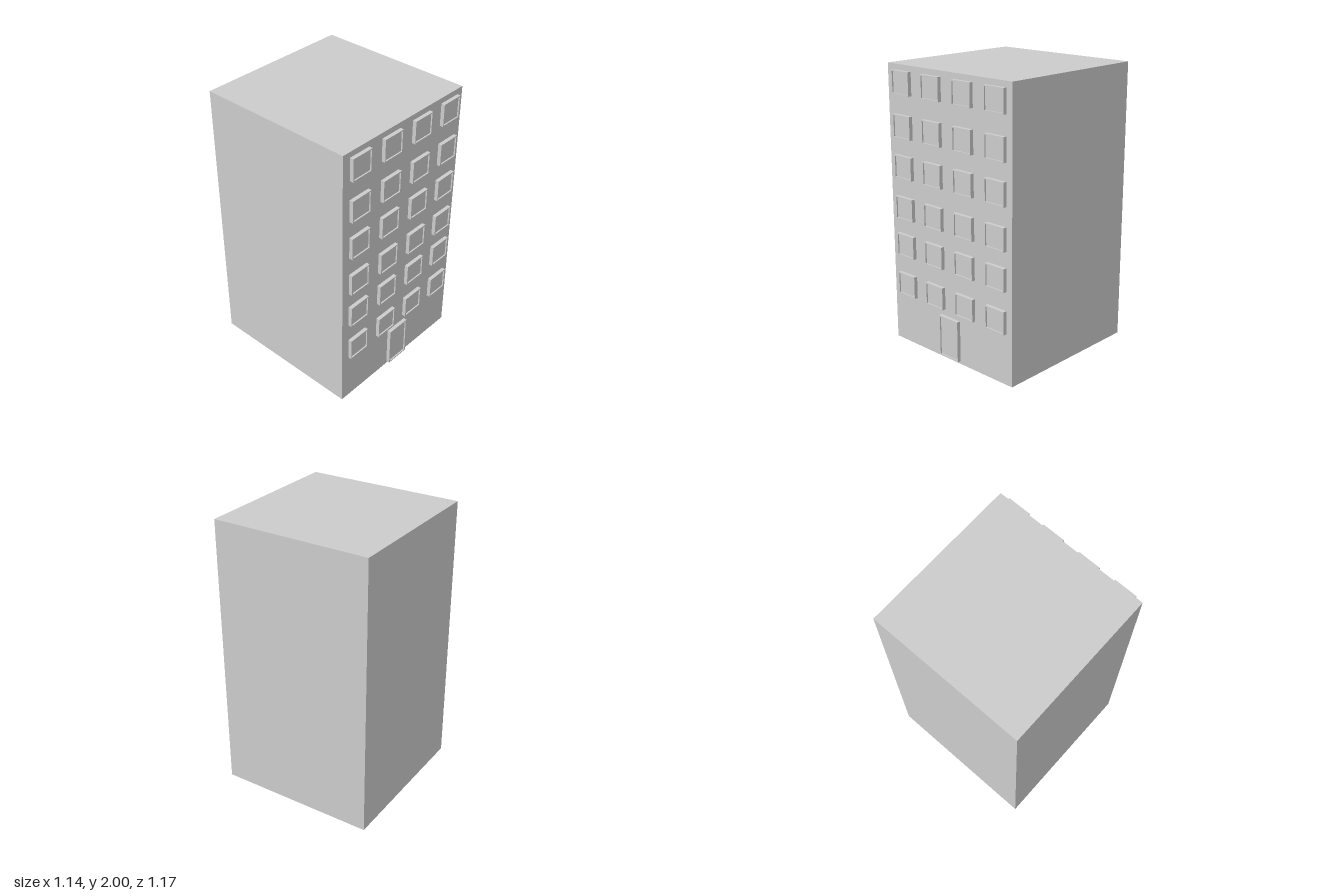
import * as THREE from 'three';

const WALL_Z = 0.558;   // front face of the block
const DEPTH = 0.027;    // how far frames stand out
const RECESS = 0.01;    // how far panes sit behind the frame face

const material = new THREE.MeshStandardMaterial({ color: 0xcccccc, flatShading: true });

function addMesh(parent, name, geometry, x, y, z) {
  const mesh = new THREE.Mesh(geometry, material);
  mesh.name = name;
  mesh.position.set(x, y, z);
  parent.add(mesh);
}

// Clockwise or counter-clockwise rectangle outline centred on the origin
function rectangle(PathType, w, h) {
  return new PathType([[-1, -1], [1, -1], [1, 1], [-1, 1]]
    .map(([x, y]) => new THREE.Vector2(x * w / 2, y * h / 2)));
}

// Raised rectangular frame around a slightly recessed panel
function framedPanel(name, panelName, w, h, border) {
  const group = new THREE.Group();
  group.name = name;
  const outline = rectangle(THREE.Shape, w, h);
  const iw = w - 2 * border, ih = h - 2 * border;
  outline.holes.push(rectangle(THREE.Path, iw, ih));
  addMesh(group, name + 'Frame',
    new THREE.ExtrudeGeometry(outline, { depth: DEPTH, bevelEnabled: false }), 0, 0, 0);
  const thickness = DEPTH - RECESS;
  addMesh(group, panelName, new THREE.BoxGeometry(iw, ih, thickness), 0, 0, thickness / 2);
  return group;
}

export function createModel() {
  const model = new THREE.Group();
  model.name = 'apartmentBlock';

  // Main block
  addMesh(model, 'buildingBody', new THREE.BoxGeometry(1.14, 2, 1.143), 0, 1, WALL_Z - 1.143 / 2);

  // Six floors of four windows
  const columns = [-0.424, -0.137, 0.152, 0.437];
  const floors = [0.444, 0.737, 1.008, 1.301, 1.583, 1.88];
  for (const y of floors) {
    for (const x of columns) {
      const win = framedPanel('window', 'windowPane', 0.168, 0.161, 0.008);
      win.position.set(x, y, WALL_Z);
      model.add(win);
    }
  }

  // Entrance door
  const door = framedPanel('door', 'doorLeaf', 0.18, 0.297, 0.009);
  door.position.set(-0.001, 0.169, WALL_Z);
  model.add(door);

  return model;
}
